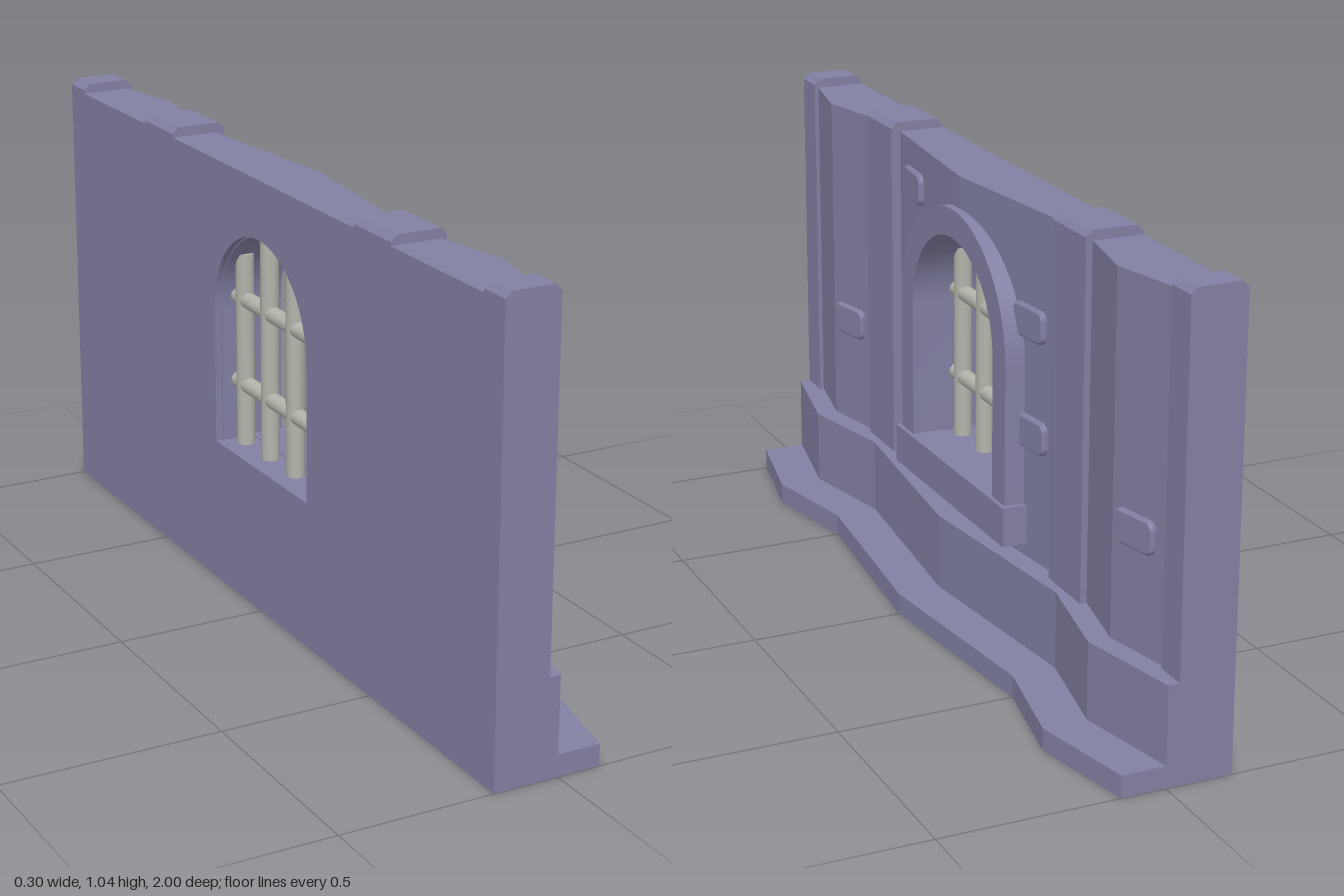
import * as THREE from 'three';
import { toCreasedNormals } from 'three/addons/utils/BufferGeometryUtils.js';

const stone = new THREE.MeshStandardMaterial({ color: 0x8280a3 });
stone.name = 'blue grey stone';
const iron = new THREE.MeshStandardMaterial({ color: 0xb4b4ac });
iron.name = 'pale iron';

const BACK = -0.15, TIER = 0.225, TOP = 1.015;
const SILL_Y = 0.342, ARCH_Y = 0.66, ARCH_R = 0.22;

// Zigzag along the wall: 0 in the hollows, 0.05 on the crests
const breaks = [-1, -0.75, -0.5, 0, 0.5, 0.75, 1];
const zigzag = [0, 0.05, 0, 0.05, 0, 0.05, 0];
function bulge(z) {
  let i = 0;
  while (i < 5 && z > breaks[i + 1]) i++;
  const t = (z - breaks[i]) / (breaks[i + 1] - breaks[i]);
  return zigzag[i] + t * (zigzag[i + 1] - zigzag[i]);
}
const wallFront = (z) => bulge(z) - 0.05;

export function createModel() {
  const group = new THREE.Group();
  function add(name, geometry, material = stone, parent = group) {
    const mesh = new THREE.Mesh(geometry, material);
    mesh.name = name;
    parent.add(mesh);
    return mesh;
  }
  // Elevation outline (u = -z, v = y) extruded along x
  function elevation(shape, x0, x1, bevel = 0) {
    const g = new THREE.ExtrudeGeometry(shape, {
      depth: x1 - x0 - bevel, curveSegments: 20, bevelEnabled: bevel > 0,
      bevelThickness: bevel, bevelSize: bevel, bevelOffset: -bevel, bevelSegments: 1,
    });
    return g.translate(0, 0, x0).rotateY(Math.PI / 2);
  }

  // Stepped footing with zigzag front
  function tier(name, offset, y0, y1) {
    const s = new THREE.Shape();
    s.moveTo(BACK, -1);
    breaks.forEach((z) => s.lineTo(offset + bulge(z), z));
    s.lineTo(BACK, 1);
    s.closePath();
    const g = new THREE.ExtrudeGeometry(s, { depth: y1 - y0, bevelEnabled: false });
    add(name, g.rotateX(-Math.PI / 2).translate(0, y0, 0));
  }
  tier('footing', 0.1, 0, 0.05);
  tier('plinth', 0, 0.05, TIER);

  // Upper wall in flat panels; the middle two each hold half the window
  for (let i = 0; i < 6; i++) {
    const a = breaks[i], b = breaks[i + 1];
    const s = new THREE.Shape();
    if (a === 0 || b === 0) {
      const k = a === 0 ? 1 : -1;
      s.moveTo(0, TIER);
      s.lineTo(k * 0.5, TIER);
      s.lineTo(k * 0.5, TOP);
      s.lineTo(0, TOP);
      s.lineTo(0, ARCH_Y + ARCH_R);
      for (let j = 1; j <= 16; j++) {
        const t = (j / 16) * Math.PI / 2;
        s.lineTo(k * ARCH_R * Math.sin(t), ARCH_Y + ARCH_R * Math.cos(t));
      }
      s.lineTo(k * ARCH_R, SILL_Y);
      s.lineTo(0, SILL_Y);
    } else {
      s.moveTo(a, TIER);
      s.lineTo(b, TIER);
      s.lineTo(b, TOP);
      s.lineTo(a, TOP);
    }
    s.closePath();
    const g = elevation(s, BACK, 0);
    const p = g.attributes.position;
    for (let v = 0; v < p.count; v++) {
      if (p.getX(v) > -0.01) p.setX(v, wallFront(p.getZ(v)));
    }
    g.computeVertexNormals();
    add('wallPanel', toCreasedNormals(g, 0.4));
  }

  // Pilasters with chamfered caps
  function pilaster(z0, z1, front) {
    const c = 0.014, h = 1.037;
    const s = new THREE.Shape();
    s.moveTo(BACK, TIER);
    s.lineTo(front, TIER);
    s.lineTo(front, h - c);
    s.lineTo(front - c, h);
    s.lineTo(BACK + c, h);
    s.lineTo(BACK, h - c);
    s.closePath();
    const g = new THREE.ExtrudeGeometry(s, { depth: z1 - z0, bevelEnabled: false });
    add('pilaster', g.translate(0, 0, z0));
  }
  pilaster(-1, -0.925, -0.025);
  pilaster(-0.575, -0.425, -0.02);
  pilaster(0.425, 0.575, -0.02);
  pilaster(0.925, 1, -0.025);

  // Arched window surround
  const outer = 0.282, inner = 0.217, foot = 0.3;
  const arch = new THREE.Shape();
  arch.moveTo(outer, foot);
  arch.lineTo(outer, ARCH_Y);
  arch.absarc(0, ARCH_Y, outer, 0, Math.PI, false);
  arch.lineTo(-outer, foot);
  arch.lineTo(-inner, foot);
  arch.lineTo(-inner, ARCH_Y);
  arch.absarc(0, ARCH_Y, inner, Math.PI, 0, true);
  arch.lineTo(inner, foot);
  arch.closePath();
  add('windowSurround', toCreasedNormals(elevation(arch, -0.133, 0.018), 0.4));

  const sill = new THREE.BoxGeometry(0.088, 0.09, 0.59);
  add('windowSill', sill.translate(-0.016, 0.3, 0));

  // Iron grille
  const grille = new THREE.Group();
  grille.name = 'windowGrille';
  group.add(grille);
  const barX = -0.092;
  for (const z of [-0.181, -0.06, 0.06, 0.181]) {
    const top = ARCH_Y + Math.sqrt(ARCH_R ** 2 - z ** 2) + 0.012;
    const h = top - SILL_Y;
    const bar = new THREE.CylinderGeometry(0.021, 0.021, h, 12);
    add('uprightBar', bar.translate(barX, SILL_Y + h / 2, z), iron, grille);
  }
  for (const y of [0.485, 0.688]) {
    const bar = new THREE.CylinderGeometry(0.019, 0.019, 0.44, 12);
    add('crossBar', bar.rotateX(Math.PI / 2).translate(barX, y, 0), iron, grille);
  }

  // Raised bricks lying on the slanted panels
  const w = 0.061, h = 0.037, r = 0.02;
  const brick = new THREE.Shape();
  brick.moveTo(-w + r, -h);
  brick.lineTo(w - r, -h);
  brick.absarc(w - r, -h + r, r, -Math.PI / 2, 0, false);
  brick.absarc(w - r, h - r, r, 0, Math.PI / 2, false);
  brick.absarc(-w + r, h - r, r, Math.PI / 2, Math.PI, false);
  brick.absarc(-w + r, -h + r, r, Math.PI, Math.PI * 1.5, false);
  const brickGeometry = elevation(brick, -0.015, 0.012, 0.005);
  for (const [z, y] of [[0.675, 0.485], [-0.825, 0.485], [0.31, 0.915], [-0.307, 0.765], [-0.316, 0.518]]) {
    const mesh = add('raisedBrick', brickGeometry);
    mesh.position.set(wallFront(z), y, z);
    mesh.rotation.y = Math.atan((wallFront(z + 0.01) - wallFront(z - 0.01)) / 0.02);
  }
  return group;
}
